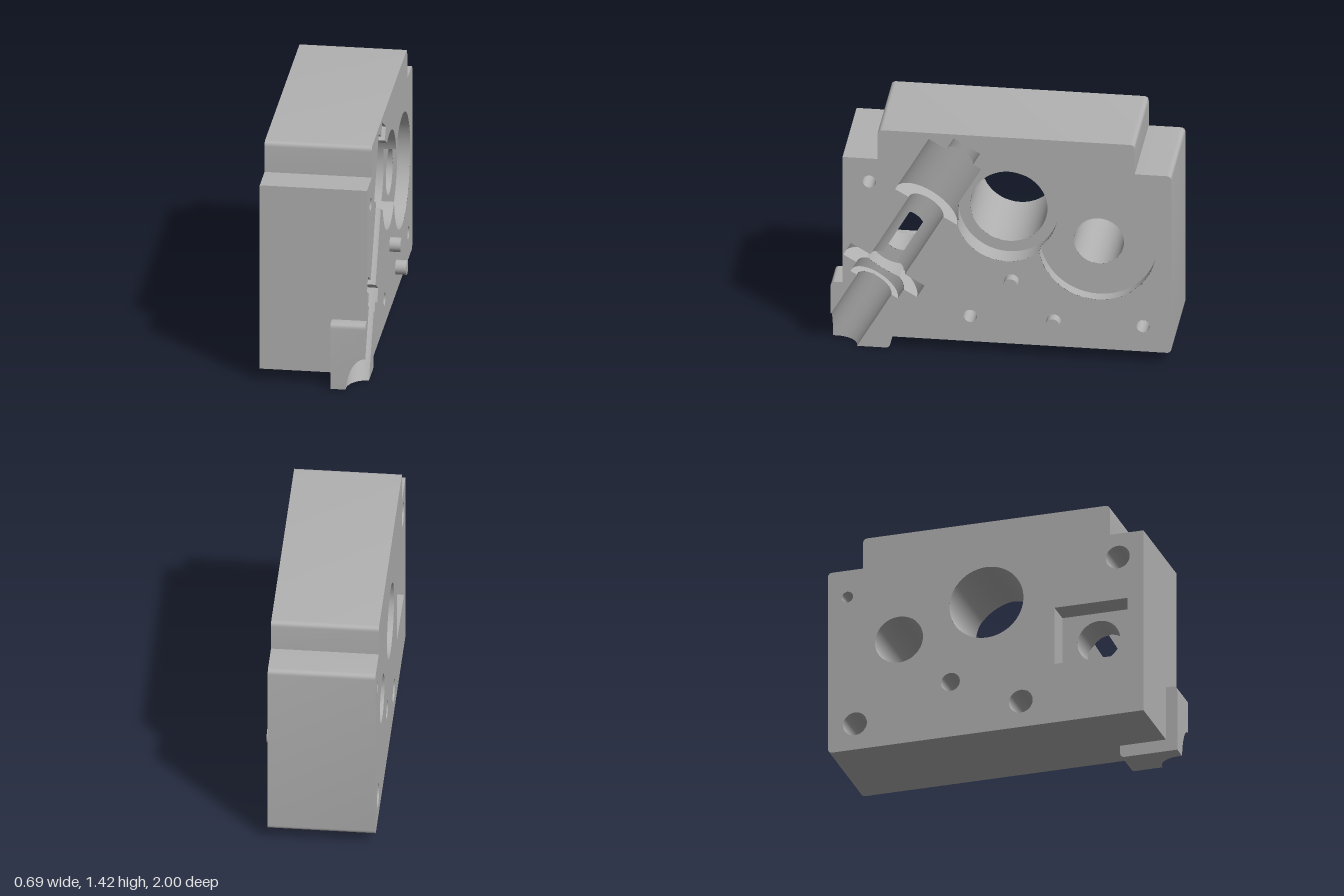
import * as THREE from 'three';
import { toCreasedNormals } from 'three/addons/utils/BufferGeometryUtils.js';

const V = (x, y, z) => new THREE.Vector3(x, y, z);
const FACE = 0.28, BACK = -0.35, FINE = 0.03;

// ---- triangle lists: each corner carries position p and normal n ----
function toTriangles(geometry, inward = false) {
  const g = geometry.index ? geometry.toNonIndexed() : geometry;
  const { position, normal } = g.attributes;
  const list = [];
  for (let i = 0; i < position.count; i += 3) {
    const tri = [0, 1, 2].map(k => ({
      p: new THREE.Vector3().fromBufferAttribute(position, i + k),
      n: new THREE.Vector3().fromBufferAttribute(normal, i + k).multiplyScalar(inward ? -1 : 1),
    }));
    list.push(inward ? tri.reverse() : tri);
  }
  return list;
}

function toGeometry(tris) {
  const g = new THREE.BufferGeometry();
  const flat = key => new THREE.Float32BufferAttribute(tris.flat().flatMap(v => v[key].toArray()), 3);
  g.setAttribute('position', flat('p'));
  g.setAttribute('normal', flat('n'));
  return g;
}

const mix = (a, b, k) => ({ p: a.p.clone().lerp(b.p, k), n: a.n.clone().lerp(b.n, k).normalize() });
const edge = (t, i) => t[i].p.distanceTo(t[(i + 1) % 3].p);
const longest = t => Math.max(edge(t, 0), edge(t, 1), edge(t, 2));
const reach = t => longest(t) * 0.67;
const middle = t => V(0, 0, 0).add(t[0].p).add(t[1].p).add(t[2].p).divideScalar(3);
const distance = (cutter, p) => Math.max(...cutter.limits.map(f => f(p)));
const area = t => new THREE.Triangle(t[0].p, t[1].p, t[2].p).getArea();

// Drop triangles buried in a cutter and halve those close to its surface
function refine(tris, cutters) {
  const done = [], todo = [...tris];
  while (todo.length) {
    const t = todo.pop(), size = longest(t), c = middle(t);
    const gaps = cutters.map(k => distance(k, c));
    if (gaps.some(d => d < -reach(t))) continue;
    if (size < FINE || gaps.every(d => d > reach(t))) { done.push(t); continue; }
    const i = [0, 1, 2].find(k => edge(t, k) === size);
    const a = t[i], b = t[(i + 1) % 3], d = t[(i + 2) % 3], m = mix(a, b, 0.5);
    todo.push([a, m, d], [m, b, d]);
  }
  return done;
}

// Keep the part of a triangle where sign * f >= 0
function clip(t, f, sign) {
  const poly = [];
  t.forEach((a, i) => {
    const b = t[(i + 1) % 3], da = sign * f(a.p), db = sign * f(b.p);
    if (da >= 0) poly.push(a);
    if (da * db < 0) poly.push(mix(a, b, da / (da - db)));
  });
  const out = [];
  for (let i = 2; i < poly.length; i++) out.push([poly[0], poly[i - 1], poly[i]]);
  return out.filter(k => area(k) > 1e-8);
}

// Remove what lies inside a cutter; untouched triangles stay whole
function outside(tris, cutter) {
  return tris.flatMap(t => {
    if (distance(cutter, middle(t)) > reach(t)) return [t];
    let rest = [t];
    const kept = [];
    for (const f of cutter.limits) {
      kept.push(...rest.flatMap(r => clip(r, f, 1)));
      rest = rest.flatMap(r => clip(r, f, -1));
    }
    return rest.length ? kept : [t];
  });
}

// ---- cutters: an inward-facing wall plus its limits (negative inside) ----
function bore(name, origin, axis, r, from, to) {
  const g = new THREE.CylinderGeometry(r, r, to - from, 48);
  g.applyQuaternion(new THREE.Quaternion().setFromUnitVectors(V(0, 1, 0), axis));
  const c = origin.clone().addScaledVector(axis, (from + to) / 2);
  g.translate(c.x, c.y, c.z);
  const along = p => p.clone().sub(origin).dot(axis);
  const radial = p => {
    const q = p.clone().sub(origin);
    return q.addScaledVector(axis, -q.dot(axis)).length() - r;
  };
  return { name, wall: toTriangles(g, true), limits: [radial, p => from - along(p), p => along(p) - to] };
}

function boxCut(name, lo, hi) {
  const g = new THREE.BoxGeometry(hi.x - lo.x, hi.y - lo.y, hi.z - lo.z);
  g.translate((lo.x + hi.x) / 2, (lo.y + hi.y) / 2, (lo.z + hi.z) / 2);
  const limits = ['x', 'y', 'z'].flatMap(k => [p => lo[k] - p[k], p => p[k] - hi[k]]);
  return { name, wall: toTriangles(g, true), limits };
}

// Side outline of [z, y, cornerRadius] points, extruded along x
function plate(points, x0, x1) {
  const s = new THREE.Shape();
  const pts = points.map(([z, y, r = 0]) => ({ v: new THREE.Vector2(-z, y), r }));
  pts.forEach(({ v, r }, i) => {
    const toward = q => v.clone().add(q.v.clone().sub(v).setLength(r));
    const a = toward(pts[(i + pts.length - 1) % pts.length]), b = toward(pts[(i + 1) % pts.length]);
    if (i) s.lineTo(a.x, a.y); else s.moveTo(a.x, a.y);
    if (r) s.quadraticCurveTo(v.x, v.y, b.x, b.y);
  });
  const g = new THREE.ExtrudeGeometry(s, { depth: x1 - x0, bevelEnabled: false, curveSegments: 6 });
  g.rotateY(Math.PI / 2).translate(x0, 0, 0);
  return toTriangles(toCreasedNormals(g, 0.6));
}

export function createModel() {
  const group = new THREE.Group();
  const metal = new THREE.MeshStandardMaterial({ color: 0xb2b2b2 });
  metal.name = 'plain grey metal';
  const add = (name, geometry) => {
    const m = new THREE.Mesh(geometry, metal);
    m.name = name;
    group.add(m);
    return m;
  };

  // Stepped shaft channel, half sunk in the +x face and tilted 60 degrees
  const slope = V(0, Math.sqrt(3) / 2, -0.5);
  const base = V(FACE, 0.5 * 0.848, 0.866 * 0.848);
  const channel = [
    ['shaftChannel', 0.117, -1.2, 0.7],
    ['wideChannel', 0.21, 0.59, 0.984],
    ['channelTip', 0.09, 0.9, 1.068],
    ['collarSeat', 0.25, 0.05, 0.14],
    ['collarStep', 0.16, -0.02, 0.1],
  ].map(([name, r, a, b]) => bore(name, base, slope, r, a, b));

  // Holes, recesses and pockets along x: name, z, y, radius, x range
  const across = [
    ['mainHole', -0.03, 0.905, 0.226, -0.5, 0.4],
    ['mainRecess', -0.03, 0.905, 0.294, 0.15, 0.4],
    ['sideHole', -0.565, 0.742, 0.147, -0.5, 0.4],
    ['sideRecess', -0.565, 0.742, 0.345, 0.205, 0.4],
    ['wheelCavity', 0.609, 0.63, 0.22, 0.0, 0.174],
    ['wheelHole', 0.609, 0.63, 0.13, -0.3, 0.1],
    ['backHoleSmall', -0.88, 1.06, 0.035, -0.5, -0.15],
    ['backHoleLarge', -0.25, 0.425, 0.058, -0.5, -0.15],
  ];
  for (const [z, y] of [[0.773, 1.08], [0.18, 0.24], [-0.834, 0.24]]) {
    across.push(['screwHole', z, y, 0.04, -0.5, 0.4], ['screwCounterbore', z, y, 0.073, -0.5, 0.1]);
  }
  const cutters = [
    ...channel,
    ...across.map(([name, z, y, r, a, b]) => bore(name, V(0, y, z), V(1, 0, 0), r, a, b)),
    boxCut('backPocket', V(-0.5, 0.45, 0.386), V(-0.2, 0.81, 0.832)),
  ];

  // Outer block and foot, with all openings removed
  const R = 0.03;
  const solids = {
    housingBlock: plate([
      [0.93, 0.075], [-1, 0.075, R], [-1, 1.23, R], [-0.785, 1.23],
      [-0.785, 1.42, R], [0.725, 1.42, R], [0.725, 1.23], [0.93, 1.23],
    ], BACK, FACE),
    cornerFoot: plate([
      [1, 0], [0.65, 0, R], [0.65, 0.075], [0.93, 0.075], [0.93, 0.41], [1, 0.41, R],
    ], 0.075, FACE),
  };
  for (const [name, tris] of Object.entries(solids)) {
    add(name, toGeometry(cutters.reduce(outside, refine(tris, cutters))));
  }

  // Inner walls of the openings, trimmed to the block and to each other
  const stock = [p => p.x - FACE, p => BACK - p.x, p => p.z - 1, p => -p.y];
  for (const cutter of cutters) {
    const others = cutters.filter(c => c !== cutter);
    let tris = cutter.wall;
    for (const f of stock) tris = tris.flatMap(t => clip(t, f, -1));
    add(cutter.name, toGeometry(others.reduce(outside, refine(tris, others))));
  }

  // Two locating pins on the +x face
  for (const [z, y] of [[-0.063, 0.485], [-0.31, 0.24]]) {
    const pin = add('locatingPin', new THREE.CylinderGeometry(0.043, 0.043, 0.085, 32));
    pin.rotation.z = -Math.PI / 2;
    pin.position.set(0.3025, y, z);
  }
  return group;
}
